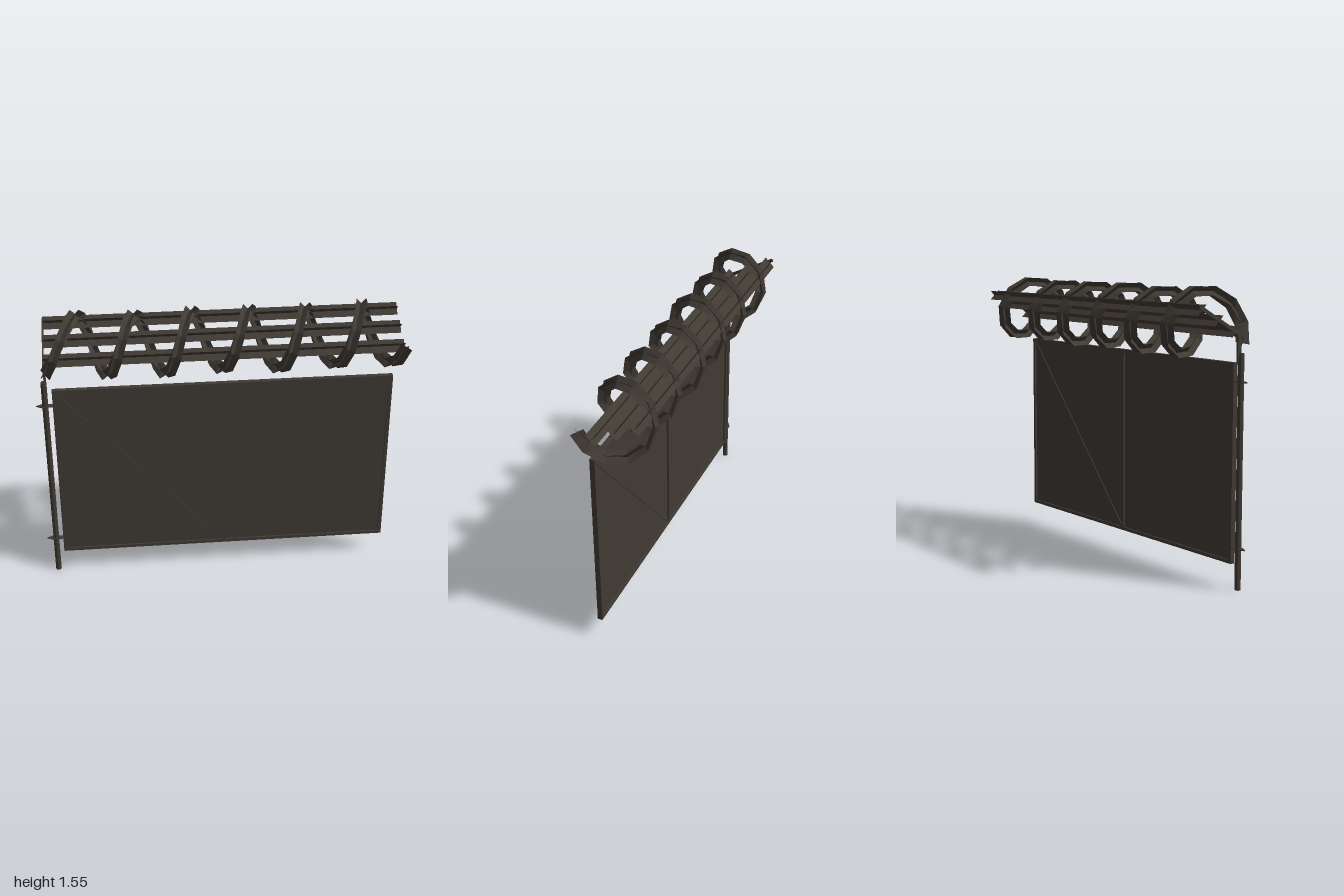
import * as THREE from 'three';

export function createModel() {
  const root = new THREE.Group();
  root.name = 'fenceGate';
  const iron = new THREE.MeshStandardMaterial({ color: 0x403a33, side: THREE.DoubleSide, flatShading: true });
  iron.name = 'darkIron';

  const add = (name, geo, x = 0, y = 0, z = 0, parent = root) => {
    const m = new THREE.Mesh(geo, iron);
    m.name = name;
    m.position.set(x, y, z);
    parent.add(m);
    return m;
  };
  const box = (name, w, h, d, x, y, z, parent) => add(name, new THREE.BoxGeometry(w, h, d), x, y, z, parent);

  // Two crossed ribbons swept along points; side(i) gives the two cross-section axes
  function crossedRibbon(points, side, half) {
    const pos = [], index = [];
    for (const s of [1, -1]) {
      const base = pos.length / 3;
      points.forEach((p, i) => {
        const [a, b] = side(i);
        const off = a.clone().addScaledVector(b, s).multiplyScalar(half);
        const u = p.clone().add(off), v = p.clone().sub(off);
        pos.push(u.x, u.y, u.z, v.x, v.y, v.z);
        if (i) {
          const k = base + i * 2;
          index.push(k - 2, k - 1, k, k - 1, k + 1, k);
        }
      });
    }
    const g = new THREE.BufferGeometry();
    g.setAttribute('position', new THREE.Float32BufferAttribute(pos, 3));
    g.setIndex(index);
    g.computeVertexNormals();
    return g;
  }

  // Two gate leaves: sheet, frame and diagonal brace
  const z0 = 0.115, y0 = 0.13, y1 = 1.17, h = y1 - y0, yc = (y0 + y1) / 2, bar = 0.018;
  for (const [name, xa, xb, dir] of [['rightLeaf', -0.91, 0.01, -1], ['leftLeaf', 0.01, 0.93, 1]]) {
    const leaf = new THREE.Group();
    leaf.name = name;
    root.add(leaf);
    const w = xb - xa, xc = (xa + xb) / 2;
    box('sheet', w - bar, h - bar, 0.008, xc, yc, z0, leaf);
    for (const y of [y0 + bar / 2, y1 - bar / 2]) box('frameRail', w, bar, 0.028, xc, y, z0, leaf);
    const outer = dir < 0 ? xa : xb, inner = dir < 0 ? xb : xa;
    box('outerStile', bar, h - 2 * bar, 0.028, outer - dir * bar / 2, yc, z0, leaf);
    box('innerStile', 0.01, h - 2 * bar, 0.028, inner + dir * 0.005, yc, z0, leaf);
    const dx = w - bar - 0.012, dy = h - 2 * bar;
    const brace = box('brace', Math.hypot(dx, dy) - 0.01, 0.012, 0.018, xc, yc, z0, leaf);
    brace.rotation.z = dir * Math.atan2(dy, dx);
  }

  // Post and its pointed clamp plates
  add('post', new THREE.CylinderGeometry(0.016, 0.016, 1.22, 8), -0.95, 0.61, z0);
  const plate = new THREE.Shape([[-1, 0], [-0.965, 0.02], [-0.905, 0.012], [-0.905, -0.012], [-0.965, -0.02]]
    .map(([x, z]) => new THREE.Vector2(x, z)));
  const plateGeo = new THREE.ExtrudeGeometry(plate, { depth: 0.005, bevelEnabled: false });
  plateGeo.rotateX(Math.PI / 2);
  for (const y of [0.22, 1.078]) add('clamp', plateGeo, 0, y, z0);

  // Bracket and sloping arm that carry the wire
  box('bracket', 0.012, 0.15, 0.022, -0.943, 1.245, 0.105);
  const arm = box('arm', 0.008, 0.018, 0.305, -0.945, 1.385, -0.022);
  arm.rotation.x = Math.atan2(0.15, 0.27);

  // Three straight wire strands
  const Y = new THREE.Vector3(0, 1, 0), Z = new THREE.Vector3(0, 0, 1);
  for (const [y, z] of [[1.328, 0.086], [1.387, -0.028], [1.443, -0.14]]) {
    const line = [-0.945, 0.99].map(x => new THREE.Vector3(x, y, z));
    add('strand', crossedRibbon(line, () => [Y, Z], 0.026));
  }

  // Coiled wire
  const coil = [], radial = [], perTurn = 10, first = -0.35, turns = 6.09, n = Math.round(turns * perTurn);
  for (let i = 0; i <= n; i++) {
    const t = first + turns * i / n, a = t * Math.PI * 2;
    const r = 0.164 + 0.006 * Math.sin(i * 0.37);
    const x = -0.785 + t * 0.308 - (i < 3 ? 0.045 * (1 - i / 3) : 0);
    const dir = new THREE.Vector3(0, Math.cos(a), -Math.sin(a));
    radial.push(dir);
    coil.push(new THREE.Vector3(x, 1.365, 0).addScaledVector(dir, r));
  }
  const coilSide = i => {
    const t = coil[Math.min(i + 1, n)].clone().sub(coil[Math.max(i - 1, 0)]).normalize();
    return [radial[i], t.cross(radial[i]).normalize()];
  };
  add('coil', crossedRibbon(coil, coilSide, 0.025));

  return root;
}
